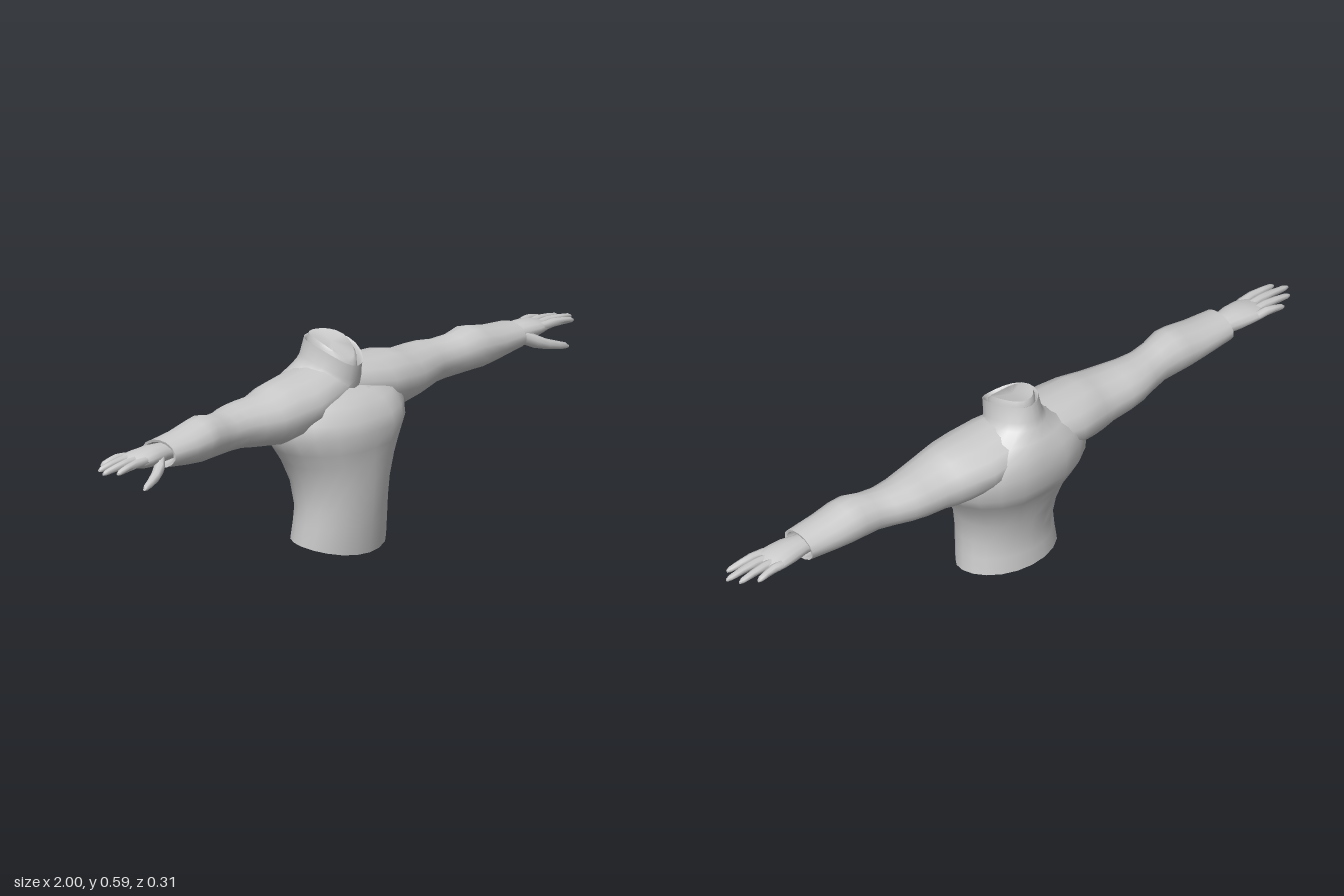
import * as THREE from 'three';
import { toCreasedNormals } from 'three/addons/utils/BufferGeometryUtils.js';

const material = new THREE.MeshStandardMaterial({ color: 0xcccccc, side: THREE.DoubleSide });

// Skins a list of equal-sized closed rings; optionally closes the last one.
function loft(name, rings, capEnd = false) {
  const n = rings[0].length;
  const points = rings.flat();
  const index = [];
  for (let i = 0; i < rings.length - 1; i++) {
    for (let j = 0; j < n; j++) {
      const a = i * n + j, b = i * n + (j + 1) % n;
      index.push(a, b, b + n, a, b + n, a + n);
    }
  }
  if (capEnd) {
    const last = rings[rings.length - 1];
    const centre = last.reduce((sum, p) => sum.add(p), new THREE.Vector3()).divideScalar(n);
    const start = points.length - n;
    for (let j = 0; j < n; j++) index.push(start + j, start + (j + 1) % n, points.length);
    points.push(centre);
  }
  const geometry = new THREE.BufferGeometry().setFromPoints(points);
  geometry.setIndex(index);
  const mesh = new THREE.Mesh(toCreasedNormals(geometry, 1.0), material);
  mesh.name = name;
  return mesh;
}

// Upright ring: heights at front and back, half width, front z, back z, centre groove.
function bodyRing([yFront, yBack, halfWidth, front, back, groove = 0], n = 20) {
  const ring = [];
  for (let j = 0; j < n; j++) {
    const t = j / n * Math.PI * 2;
    const u = (1 - Math.cos(t)) / 2;
    const bulge = j % (n / 2) === 0 ? 1 : 1 + groove;
    const mid = (front + back) / 2, depth = (front - back) / 2;
    ring.push(new THREE.Vector3(
      Math.sin(t) * halfWidth,
      yBack - (yBack - yFront) * Math.pow(1 - u, 2.5),
      mid + Math.cos(t) * depth * bulge));
  }
  return ring;
}

// Ring across a limb running along x: x, top, bottom, front z, back z.
function limbRing([x, top, bottom, front, back], n) {
  const ring = [];
  for (let j = 0; j < n; j++) {
    const t = j / n * Math.PI * 2;
    ring.push(new THREE.Vector3(x,
      (top + bottom) / 2 + Math.cos(t) * (top - bottom) / 2,
      (front + back) / 2 + Math.sin(t) * (front - back) / 2));
  }
  return ring;
}

const limb = (name, sections, n, cap) => loft(name, sections.map(s => limbRing(s, n)), cap);

// Finger through points [x, y, z, half height, half depth]
function finger(name, stations) {
  return limb(name, stations.map(([x, y, z, h, d]) => [x, y + h, y - h, z + d, z - d]), 8, true);
}

function createArm(side) {
  const arm = new THREE.Group();
  arm.name = side + 'Arm';

  // Sleeve from the collarbone to the cuff, folded inwards at its end
  arm.add(limb('sleeve', [
    [0.00, 0.515, 0.38, 0.07, -0.12],
    [0.08, 0.512, 0.37, 0.085, -0.13],
    [0.16, 0.503, 0.35, 0.095, -0.13],
    [0.22, 0.502, 0.34, 0.09, -0.118],
    [0.26, 0.495, 0.338, 0.085, -0.108],
    [0.30, 0.485, 0.345, 0.08, -0.10],
    [0.36, 0.483, 0.352, 0.066, -0.098],
    [0.41, 0.480, 0.360, 0.055, -0.092],
    [0.46, 0.475, 0.364, 0.052, -0.075],
    [0.51, 0.479, 0.366, 0.056, -0.062],
    [0.56, 0.490, 0.368, 0.068, -0.066],
    [0.60, 0.485, 0.368, 0.071, -0.064],
    [0.66, 0.472, 0.374, 0.068, -0.060],
    [0.75, 0.463, 0.386, 0.062, -0.056],
    [0.748, 0.456, 0.393, 0.054, -0.048],
    [0.70, 0.450, 0.400, 0.045, -0.040],
  ], 14));

  // Palm, flattened towards the knuckles
  arm.add(limb('palm', [
    [0.70, 0.448, 0.402, 0.034, -0.032],
    [0.75, 0.452, 0.400, 0.036, -0.034],
    [0.79, 0.455, 0.398, 0.045, -0.042],
    [0.83, 0.451, 0.402, 0.049, -0.048],
    [0.86, 0.445, 0.408, 0.047, -0.050],
    [0.88, 0.437, 0.414, 0.040, -0.046],
  ], 14, true));

  // Four fingers: z at the knuckle, z at the tip, x of the tip
  const fingers = [
    ['indexFinger', 0.034, 0.041, 0.972],
    ['middleFinger', 0.011, 0.012, 0.998],
    ['ringFinger', -0.014, -0.019, 0.978],
    ['littleFinger', -0.037, -0.046, 0.935],
  ];
  for (const [name, z0, z1, tip] of fingers) {
    const at = (f, y, r) => [
      THREE.MathUtils.lerp(0.845, tip, f), y, THREE.MathUtils.lerp(z0, z1, f), r, r];
    arm.add(finger(name, [
      at(0, 0.429, 0.013), at(0.35, 0.432, 0.0125), at(0.65, 0.429, 0.0105),
      at(0.92, 0.425, 0.008), at(1, 0.423, 0.004),
    ]));
  }

  // Thumb reaching forwards and down
  arm.add(finger('thumb', [
    [0.765, 0.420, 0.022, 0.020, 0.016],
    [0.800, 0.403, 0.045, 0.020, 0.019],
    [0.835, 0.389, 0.060, 0.015, 0.016],
    [0.870, 0.380, 0.071, 0.012, 0.012],
    [0.896, 0.374, 0.077, 0.009, 0.008],
    [0.905, 0.371, 0.079, 0.004, 0.004],
  ]));
  return arm;
}

export function createModel() {
  const model = new THREE.Group();
  model.name = 'shirtTorso';

  // Open-bottomed shirt body rising into the slanted collar
  model.add(loft('shirtBody', [
    [0.00, 0.036, 0.155, 0.127, -0.095],
    [0.08, 0.085, 0.150, 0.135, -0.090],
    [0.13, 0.13, 0.147, 0.140, -0.087],
    [0.20, 0.20, 0.155, 0.144, -0.100, 0.02],
    [0.26, 0.26, 0.183, 0.146, -0.115, 0.03],
    [0.30, 0.30, 0.207, 0.148, -0.133, 0.05],
    [0.35, 0.34, 0.235, 0.154, -0.150, 0.05],
    [0.38, 0.40, 0.238, 0.145, -0.153, 0.05],
    [0.42, 0.45, 0.215, 0.122, -0.146, 0.04],
    [0.44, 0.485, 0.150, 0.095, -0.130],
    [0.455, 0.515, 0.085, 0.075, -0.110],
    [0.48, 0.535, 0.072, 0.080, -0.102],
    [0.52, 0.58, 0.066, 0.088, -0.090],
    [0.515, 0.575, 0.061, 0.081, -0.084],
    [0.49, 0.54, 0.058, 0.072, -0.084],
  ].map(s => bodyRing(s))));

  // Neck stub inside the collar
  model.add(loft('neck', [
    [0.48, 0.53, 0.058, 0.070, -0.084],
    [0.525, 0.58, 0.055, 0.068, -0.081],
    [0.535, 0.592, 0.050, 0.060, -0.076],
  ].map(s => bodyRing(s)), true));

  const leftArm = createArm('left');
  const rightArm = createArm('right');
  rightArm.scale.x = -1;
  model.add(leftArm, rightArm);
  return model;
}
